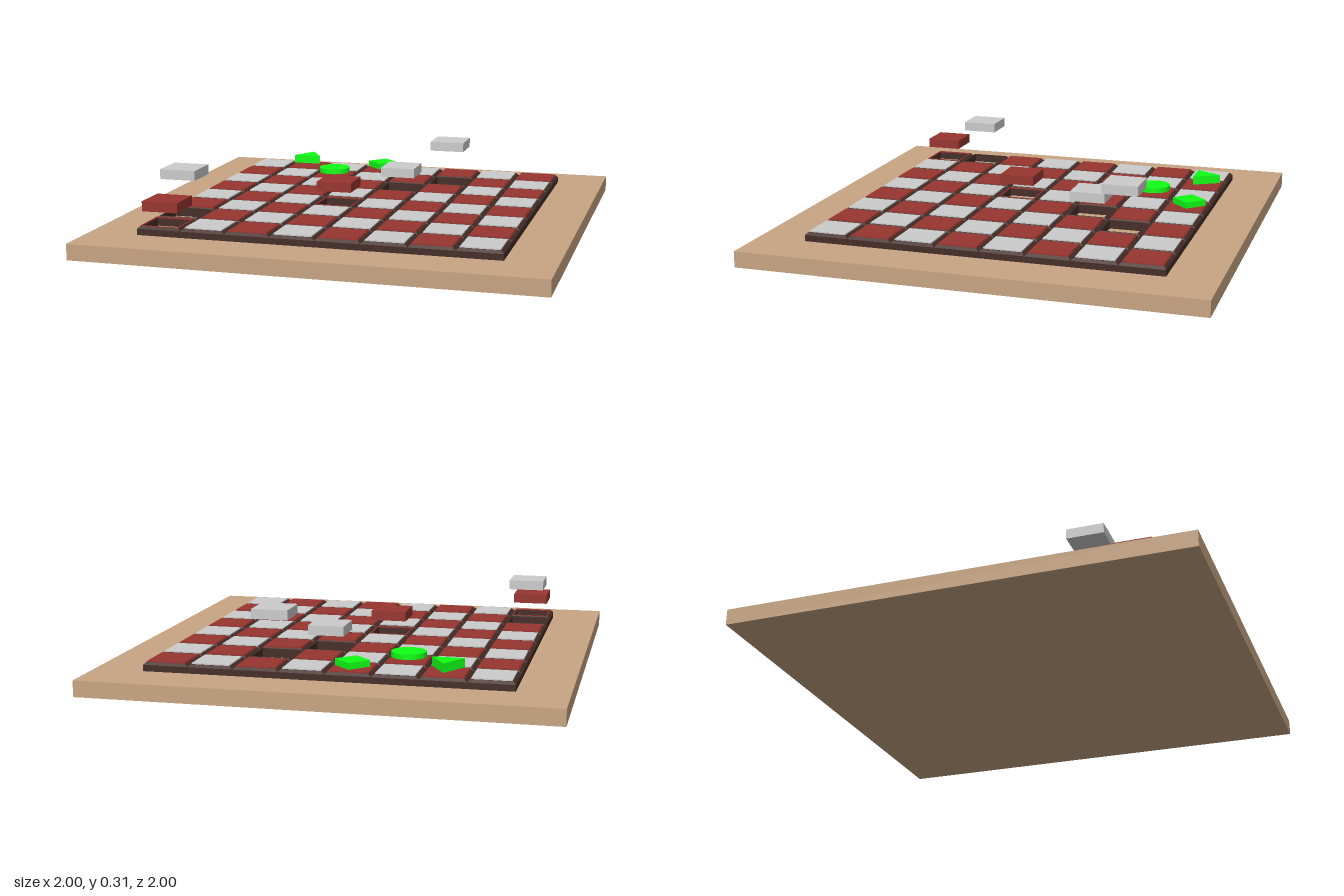
import * as THREE from 'three';

const CELLS = 8;
const PITCH = 0.1955;
const BASE_TOP = 0.07;
const TILE_H = 0.043;

const mat = (color) => new THREE.MeshStandardMaterial({ color, flatShading: true });

// Square ring: a four-sided lathe of [halfWidth, y] points, turned to face the axes
function squareRing(profile) {
  const points = profile.map(([h, y]) => new THREE.Vector2(h * Math.SQRT2, y));
  return new THREE.LatheGeometry(points, 4).rotateY(Math.PI / 4);
}

export function createModel() {
  const group = new THREE.Group();
  const wood = mat(0xc8a583), dark = mat(0x452d28), red = mat(0x983530);
  const grey = mat(0xcccccc), green = mat(0x10ff15);

  const add = (name, geometry, material, x, y, z) => {
    const mesh = new THREE.Mesh(geometry, material);
    mesh.name = name;
    mesh.position.set(x, y, z);
    group.add(mesh);
    return mesh;
  };
  const at = (i) => (i - (CELLS - 1) / 2) * PITCH;

  // Base slab
  add('base', new THREE.BoxGeometry(2, BASE_TOP, 2), wood, 0, BASE_TOP / 2, 0);

  // Bevelled cell frame, open in the middle
  const half = PITCH / 2;
  const frame = squareRing([
    [0.081, 0.07], [half, 0.07], [half, 0.097], [0.086, 0.108], [0.081, 0.108], [0.081, 0.07],
  ]);
  // Thin coloured lip round the opening of the red cells
  const lip = squareRing([
    [0.08, 0.104], [0.086, 0.106], [0.086, 0.11], [0.08, 0.11], [0.08, 0.104],
  ]);
  const tile = new THREE.BoxGeometry(0.165, TILE_H, 0.165);
  const looseTile = new THREE.BoxGeometry(0.16, TILE_H, 0.16);

  // Tiles raised out of their cells, keyed by "column,row"
  const raised = { '0,7': 0.1, '3,4': 0.1, '4,2': 0.1, '0,6': 0.2, '5,1': 0.2 };

  // Chequered cells
  for (let row = 0; row < CELLS; row++) {
    for (let col = 0; col < CELLS; col++) {
      const x = at(col), z = at(row);
      const isRed = (row + col) % 2 === 1;
      const lift = raised[`${col},${row}`] ?? 0;
      add('cellFrame', frame, dark, x, 0, z);
      if (isRed) add('cellLip', lip, red, x, 0, z);
      add(lift ? 'raisedTile' : 'tile', lift ? looseTile : tile,
        isRed ? red : grey, x, BASE_TOP + TILE_H / 2 + lift, z);
    }
  }

  // Green markers hovering over three cells
  const marker = (name, radius, sides, bottom, top, x, z) =>
    add(name, new THREE.CylinderGeometry(radius, radius, top - bottom, sides),
      green, x, (bottom + top) / 2, z);
  marker('triangleMarker', 0.078, 3, 0.127, 0.166, -0.49, -0.69).rotation.y = Math.PI;
  marker('diamondMarker', 0.074, 4, 0.12, 0.148, -0.1, -0.697);
  marker('roundMarker', 0.075, 32, 0.125, 0.148, -0.295, -0.49);

  return group;
}
